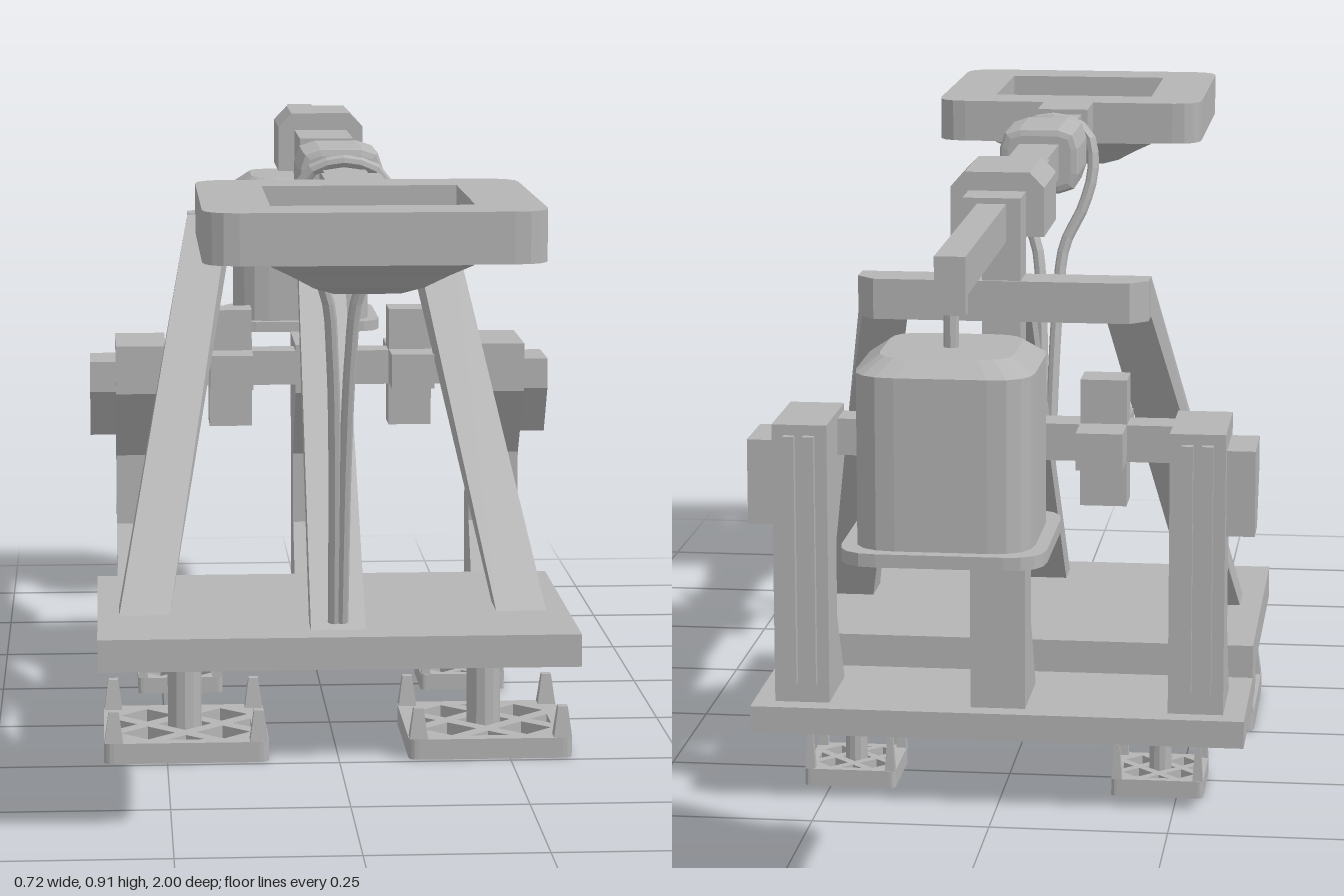
import * as THREE from 'three';

const grey = new THREE.MeshStandardMaterial({ color: 0xb4b4b4, flatShading: true, side: THREE.DoubleSide });
grey.name = 'grey';

export function createModel() {
  const root = new THREE.Group();

  const add = (name, geo, x = 0, y = 0, z = 0, parent = root) => {
    const m = new THREE.Mesh(geo, grey);
    m.name = name;
    m.position.set(x, y, z);
    parent.add(m);
    return m;
  };
  // box given by its limits on each axis
  const box = (name, x0, x1, y0, y1, z0, z1) =>
    add(name, new THREE.BoxGeometry(x1 - x0, y1 - y0, z1 - z0), (x0 + x1) / 2, (y0 + y1) / 2, (z0 + z1) / 2);
  const polygon = (pts, Type = THREE.Shape) => new Type(pts.map(([x, y]) => new THREE.Vector2(x, y)));
  const roundRect = (hx, hy, r) => {
    const s = new THREE.Shape();
    s.moveTo(hx, -hy + r);
    s.lineTo(hx, hy - r).quadraticCurveTo(hx, hy, hx - r, hy);
    s.lineTo(-hx + r, hy).quadraticCurveTo(-hx, hy, -hx, hy - r);
    s.lineTo(-hx, -hy + r).quadraticCurveTo(-hx, -hy, -hx + r, -hy);
    s.lineTo(hx - r, -hy).quadraticCurveTo(hx, -hy, hx, -hy + r);
    return s;
  };
  // horizontal plate extruded upwards
  const slab = (shape, depth) =>
    new THREE.ExtrudeGeometry(shape, { depth, bevelEnabled: false, curveSegments: 4 }).rotateX(-Math.PI / 2);
  // side profile in (z, y) extruded along x and centred
  const sideways = (pts, width) =>
    new THREE.ExtrudeGeometry(polygon(pts.map(([z, y]) => [-z, y])), { depth: width, bevelEnabled: false })
      .translate(0, 0, -width / 2).rotateY(Math.PI / 2);

  // platforms
  box('frontPlatform', -0.35, 0.35, 0.142, 0.19, -0.2, 0.268);
  box('rearPlatform', -0.35, 0.35, 0.103, 0.142, -0.425, -0.122);

  // lattice feet with corner spikes
  const foot = (x, z, size, thick, stemR, stemTop) => {
    const g = new THREE.Group();
    g.name = 'foot';
    g.position.set(x, 0, z);
    root.add(g);
    const h = size / 2;
    const shape = roundRect(h, h, h * 0.12);
    const hole = (pts) => shape.holes.push(polygon(pts.map(([a, b]) => [a * h, b * h]), THREE.Path));
    for (const [a, b] of [[0, 0], [1, 1], [1, -1], [-1, 1], [-1, -1]]) {
      const cx = a * 0.46, cy = b * 0.46, d = 0.33;
      hole([[cx + d, cy], [cx, cy + d], [cx - d, cy], [cx, cy - d]]);
    }
    for (const s of [1, -1]) {
      hole([[s * 0.82, 0.23], [s * 0.59, 0], [s * 0.82, -0.23]]);
      hole([[0.23, s * 0.82], [0, s * 0.59], [-0.23, s * 0.82]]);
    }
    add('footPlate', slab(shape, thick), 0, 0, 0, g);
    add('footStem', new THREE.CylinderGeometry(stemR, stemR, stemTop - thick / 2, 12), 0, (stemTop + thick / 2) / 2, 0, g);
    const r = h * 0.12;
    for (const sx of [1, -1]) for (const sz of [1, -1]) {
      const spike = new THREE.CylinderGeometry(r * 0.7, r * 1.3, 0.075 - thick, 4).rotateY(Math.PI / 4);
      add('footSpike', spike, sx * (h - r), (0.075 + thick) / 2, sz * (h - r), g);
    }
  };
  for (const s of [1, -1]) {
    foot(s * 0.222, 0.12, 0.24, 0.03, 0.025, 0.145);
    foot(s * 0.222, -0.272, 0.132, 0.025, 0.016, 0.105);
  }

  // three posts with flared bases and bracketed heads
  const post = [[-0.395, 0.142], [-0.395, 0.545], [-0.238, 0.545], [-0.238, 0.47], [-0.32, 0.36], [-0.32, 0.25], [-0.26, 0.142]];
  for (const x of [-0.28, 0, 0.28]) add('post', sideways(post, 0.078), x);
  const cheek = [[-0.37, 0.395], [-0.37, 0.517], [-0.265, 0.517], [-0.265, 0.47], [-0.31, 0.395]];
  for (const s of [1, -1]) {
    add('postCheek', sideways(cheek, 0.042), s * 0.338);
    for (const o of [-0.014, 0.014])
      box('postStrip', s * 0.28 + o - 0.008, s * 0.28 + o + 0.008, 0.17, 0.53, -0.407, -0.39);
  }

  // cross beam with plus-shaped collars
  box('crossBeam', -0.25, 0.25, 0.482, 0.535, -0.3, -0.245);
  for (const s of [1, -1]) {
    const x0 = s * 0.14 - 0.033, x1 = s * 0.14 + 0.033;
    box('collarUpright', x0, x1, 0.418, 0.6, -0.302, -0.243);
    box('collarBar', x0, x1, 0.484, 0.537, -0.37, -0.18);
  }

  // mast and top crossbar
  box('mast', -0.027, 0.027, 0.5, 0.83, -0.345, -0.28);
  const bar = polygon([[-0.205, 0.285], [0.205, 0.285], [0.205, 0.325], [0.18, 0.35], [-0.18, 0.35], [-0.205, 0.325]]);
  add('topCrossbar', slab(bar, 0.057), 0, 0.69, 0);

  // sloping struts, a box whose ends are moved to the given sections
  const strut = (name, bx0, bx1, bz0, bz1, tx0, tx1) => {
    const geo = new THREE.BoxGeometry(1, 1, 1);
    const p = geo.attributes.position;
    for (let i = 0; i < p.count; i++) {
      const right = p.getX(i) > 0, front = p.getZ(i) > 0;
      if (p.getY(i) < 0) p.setXYZ(i, right ? bx1 : bx0, 0.188, front ? bz1 : bz0);
      else p.setXYZ(i, right ? tx1 : tx0, front ? 0.747 : 0.69, -0.286);
    }
    geo.computeVertexNormals();
    add(name, geo);
  };
  strut('leftStrut', 0.243, 0.318, 0.03, 0.1, 0.14, 0.205);
  strut('rightStrut', -0.318, -0.243, 0.03, 0.1, -0.205, -0.14);
  strut('middleStrut', -0.04, 0.04, 0.165, 0.22, -0.035, 0.035);

  // throwing arm
  box('armRear', -0.02, 0.02, 0.82, 0.872, -0.885, -0.44);
  box('armRearTip', -0.02, 0.02, 0.797, 0.83, -0.885, -0.86);
  box('armSleeve', -0.04, 0.04, 0.816, 0.88, -0.455, -0.08);
  box('armFront', -0.03, 0.03, 0.82, 0.872, -0.09, 0.5);
  box('bowlNeck', -0.04, 0.04, 0.815, 0.88, 0.48, 0.58);
  const hub = polygon([[-0.065, 0.817], [0.065, 0.817], [0.065, 0.885], [0.045, 0.906], [-0.045, 0.906], [-0.065, 0.885]]);
  add('armHub', new THREE.ExtrudeGeometry(hub, { depth: 0.135, bevelEnabled: true, bevelSize: 0, bevelThickness: 0.01, bevelSegments: 1 }), 0, 0, -0.38);

  // binding on the arm
  for (let i = 0; i < 5; i++) {
    const wrap = roundRect(0.048, 0.038, 0.02);
    add('binding', new THREE.ExtrudeGeometry(wrap, {
      depth: 0.01, bevelEnabled: true, bevelSize: 0.012, bevelThickness: 0.008, bevelSegments: 2, curveSegments: 2,
    }), 0, 0.846, 0.143 + i * 0.0268);
  }

  // bowl: rounded frame with a stepped four-sided dish
  const frame = roundRect(0.214, 0.215, 0.045);
  frame.holes.push(polygon([[-0.128, -0.128], [0.128, -0.128], [0.128, 0.128], [-0.128, 0.128]], THREE.Path));
  add('bowlFrame', slab(frame, 0.065), 0, 0.815, 0.785);
  const dish = [[0, 0.757], [0.042, 0.757], [0.07, 0.768], [0.1, 0.787], [0.128, 0.803], [0.128, 0.82]]
    .map(([r, y]) => new THREE.Vector2(r * Math.SQRT2, y));
  add('bowlDish', new THREE.LatheGeometry(dish, 4, Math.PI / 4), 0, 0, 0.775);

  // hanging counterweight
  const zw = -0.868;
  add('weightFlange', slab(roundRect(0.13, 0.13, 0.05), 0.017), 0, 0.498, zw);
  add('weightBody', slab(roundRect(0.113, 0.113, 0.055), 0.222), 0, 0.513, zw);
  const cap = slab(roundRect(0.113, 0.113, 0.055), 0.02);
  const cp = cap.attributes.position;
  for (let i = 0; i < cp.count; i++)
    if (cp.getY(i) > 0.01) cp.setXYZ(i, cp.getX(i) * 0.75, cp.getY(i), cp.getZ(i) * 0.75);
  add('weightCap', cap, 0, 0.735, zw);
  add('weightHook', new THREE.CylinderGeometry(0.01, 0.01, 0.06, 8), 0, 0.775, zw - 0.004);

  // rope looped over the arm and tied to the platform
  const half = [[0.006, 0.2], [0.008, 0.45], [0.013, 0.6], [0.022, 0.69], [0.05, 0.75], [0.064, 0.81], [0.052, 0.865]];
  const loop = [...half, [0, 0.884], ...half.map(([x, y]) => [-x, y]).reverse()];
  const path = new THREE.CatmullRomCurve3(loop.map(([x, y]) => new THREE.Vector3(x, y, 0.208 + (y - 0.2) * 0.195)));
  add('rope', new THREE.TubeGeometry(path, 64, 0.009, 8));

  return root;
}
